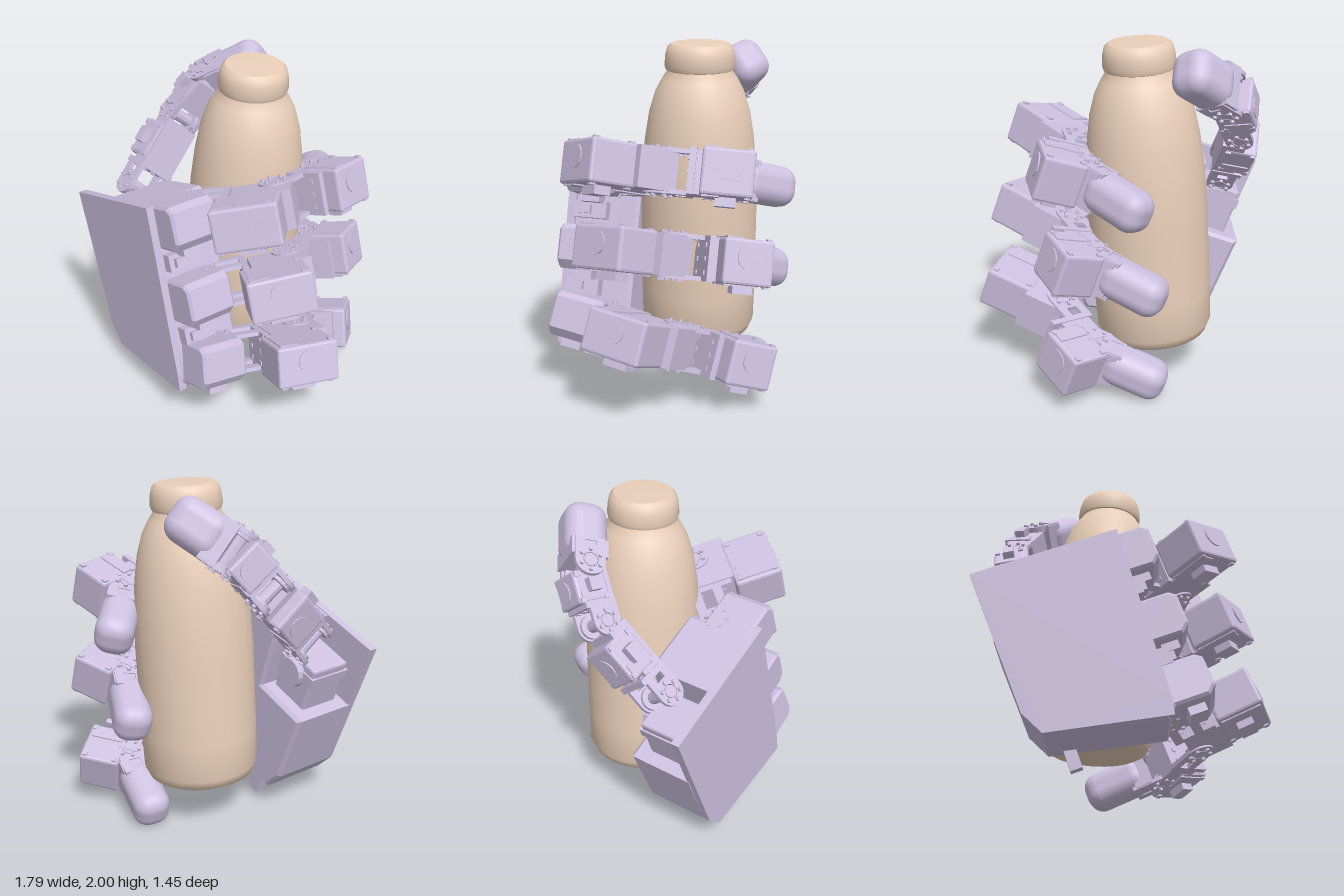
import * as THREE from 'three';
import { toCreasedNormals } from 'three/addons/utils/BufferGeometryUtils.js';
import { RoundedBoxGeometry } from 'three/addons/geometries/RoundedBoxGeometry.js';

const V = (x, y, z) => new THREE.Vector3(x, y, z);
const shell = new THREE.MeshStandardMaterial({ color: 0xcdc1e0, flatShading: true });
const skin = new THREE.MeshStandardMaterial({ color: 0xcdc1e0 });
const glass = new THREE.MeshStandardMaterial({ color: 0xebd0ba });

function add(parent, name, geo, x = 0, y = 0, z = 0, mat = shell) {
  const m = new THREE.Mesh(geo, mat);
  m.name = name;
  m.position.set(x, y, z);
  parent.add(m);
  return m;
}
const box = (p, name, w, h, d, x, y, z) => add(p, name, new THREE.BoxGeometry(w, h, d), x, y, z);

// Closed outline of [x, y] points, extruded along +z
function slab(points, depth, bevel = 0) {
  const s = new THREE.Shape(points.map(([x, y]) => new THREE.Vector2(x, y)));
  return new THREE.ExtrudeGeometry(s, { depth, bevelEnabled: bevel > 0, bevelSize: bevel,
    bevelThickness: bevel, bevelOffset: -bevel, bevelSegments: 1 });
}

// Group at A: +x runs to B, +z points outward
function aligned(parent, name, A, B, outward) {
  const g = new THREE.Group();
  g.name = name;
  const x = B.clone().sub(A).normalize();
  const y = outward.clone().cross(x).normalize();
  const z = x.clone().cross(y);
  g.setRotationFromMatrix(new THREE.Matrix4().makeBasis(x, y, z));
  g.position.copy(A);
  parent.add(g);
  return g;
}

// Side plate with a round end at the hinge, a hinge hole and a slot
function cheekPlate(len, r) {
  const s = new THREE.Shape();
  s.moveTo(len, -r);
  s.lineTo(len, r);
  s.lineTo(0, r);
  s.absarc(0, 0, r, Math.PI / 2, Math.PI * 1.5, false);
  s.lineTo(len, -r);
  s.holes.push(new THREE.Path().absarc(0, 0, r * 0.5, 0, Math.PI * 2, true));
  const slot = new THREE.Path();
  slot.moveTo(r, -r * 0.4);
  slot.lineTo(r, r * 0.4);
  slot.lineTo(len - 0.02, r * 0.4);
  slot.lineTo(len - 0.02, -r * 0.4);
  slot.closePath();
  s.holes.push(slot);
  return new THREE.ExtrudeGeometry(s, { depth: 0.025, bevelEnabled: false, curveSegments: 8 });
}

// Hinge bracket: pin, horn discs, rings of bolts and the two cheeks
function hinge(g, h, r, reach) {
  add(g, 'hingePin', new THREE.CylinderGeometry(r * 0.45, r * 0.45, h, 10));
  for (const s of [-1, 1]) {
    add(g, 'hornDisc', new THREE.CylinderGeometry(r * 0.85, r * 0.85, 0.02, 14), 0, s * (h / 2 - 0.035), 0);
    for (let i = 0; i < 6; i++) {
      const a = i * Math.PI / 3;
      add(g, 'bolt', new THREE.CylinderGeometry(0.012, 0.012, 0.02, 6),
        Math.cos(a) * r * 0.7, s * (h / 2 + 0.005), Math.sin(a) * r * 0.7);
    }
    const c = add(g, 'bracketCheek', cheekPlate(reach, r), 0, s * (h / 2 - 0.0125) + 0.0125, 0);
    c.rotation.x = Math.PI / 2;
  }
}

// Powered link: hinge bracket, inner housing and outer motor (ranges are [from, to])
function link(parent, name, A, B, outward, { h, r, reach, webZ, motorX, motorZ, houseX, houseZ }) {
  const g = aligned(parent, name, A, B, outward);
  const mid = ([a, b]) => (a + b) / 2, size = ([a, b]) => b - a;
  hinge(g, h, r, reach);
  // bracket plate with rows of rivets
  box(g, 'bracketWeb', 0.035, h, size(webZ), reach, 0, mid(webZ));
  for (const i of [-1, 1]) for (const k of [-1, 0, 1])
    box(g, 'webRivet', 0.05, 0.025, 0.025, reach, k * h * 0.3, mid(webZ) + i * size(webZ) * 0.28);
  box(g, 'housing', size(houseX), h * 0.95, size(houseZ), mid(houseX), 0, mid(houseZ));
  // motor with cap band, output disc, cable socket and lugs
  const mx = mid(motorX), mz = mid(motorZ), w = size(motorX), d = size(motorZ);
  add(g, 'motor', new RoundedBoxGeometry(w, h, d, 1, 0.015), mx, 0, mz);
  box(g, 'motorBand', w * 0.3, h + 0.015, d * 0.8, mx - w * 0.28, 0, mz);
  const disc = add(g, 'motorDisc', new THREE.CylinderGeometry(h * 0.27, h * 0.27, 0.015, 14), mx, h * 0.1, mz + d / 2);
  disc.rotation.x = Math.PI / 2;
  box(g, 'cableSocket', w * 0.4, 0.06, d * 0.35, mx, -h / 2 - 0.02, mz);
  for (const s of [-1, 1]) for (const t of [-1, 1])
    box(g, 'motorLug', 0.03, h + 0.02, 0.03, mx + s * w * 0.4, 0, mz + t * d * 0.38);
}

// Rounded end pad with its hinge fork; the pad runs a little past B
function fingertip(parent, A, B, outward, h, d) {
  const g = aligned(parent, 'fingertip', A, B, outward);
  const L = A.distanceTo(B);
  hinge(g, h, 0.085, L * 0.5);
  const start = L * 0.2, end = L + 0.11;
  add(g, 'tipPad', new RoundedBoxGeometry(end - start, h, d, 4, 0.09), (start + end) / 2, 0, 0, skin);
  box(g, 'tipCollar', 0.1, h * 0.94, d * 0.85, L * 0.3, 0, 0);
}

function makeFinger(hand, Y, curl, pitch) {
  const f = new THREE.Group();
  f.name = 'finger';
  f.position.set(0.46, Y, 0.21);
  f.rotation.set(pitch, 0, 0);
  hand.add(f);
  // knuckle motor carried by the palm
  add(f, 'knuckleMotor', slab([[-0.06, -0.13], [0.17, -0.13], [0.22, -0.08], [0.22, 0.1], [0.18, 0.13], [-0.06, 0.13]], 0.26, 0.015), 0, 0, -0.04);
  box(f, 'knuckleMount', 0.2, 0.2, 0.2, -0.09, 0, 0.05);
  box(f, 'knuckleSocket', 0.1, 0.06, 0.12, 0.09, -0.15, 0.1);
  const g = new THREE.Group();
  g.name = 'curledLinks';
  g.rotation.y = curl;
  f.add(g);
  const P = [V(0, 0, 0), V(0.345, 0, -0.38), V(0.263, 0, -0.718), V(-0.01, 0, -0.945)];
  link(g, 'lowerLink', P[0], P[1], V(1, 0, 1), { h: 0.24, r: 0.09, reach: 0.25, webZ: [-0.09, 0.16],
    motorX: [0.2, 0.57], motorZ: [0.18, 0.46], houseX: [0.28, 0.62], houseZ: [-0.04, 0.2] });
  link(g, 'middleLink', P[1], P[2], V(1, 0, 0), { h: 0.25, r: 0.09, reach: 0.17, webZ: [-0.09, 0.2],
    motorX: [0.22, 0.5], motorZ: [0.03, 0.27], houseX: [0.16, 0.36], houseZ: [-0.06, 0.14] });
  fingertip(g, P[2], P[3], V(0, 0, -1), 0.23, 0.22);
}

function makePalm(hand) {
  const palm = new THREE.Group();
  palm.name = 'palm';
  hand.add(palm);
  // outer cover and the thick body behind it, notched for the thumb
  add(palm, 'palmCover', slab([[-0.37, 1.26], [-0.34, 0.38], [-0.27, 0.24], [0.41, 0.1], [0.43, 0.2], [0.5, 1.25]], 0.05), 0, 0, 0.44);
  add(palm, 'palmBody', slab([[-0.36, 0.84], [-0.34, 0.38], [-0.27, 0.24], [0.38, 0.1], [0.44, 0.16],
    [0.46, 1.2], [0.4, 1.25], [0.0, 1.25], [0.0, 0.84]], 0.38, 0.02), 0, 0, 0.07);
  // spacers between the knuckles
  for (const y of [0.45, 0.9]) {
    box(palm, 'knuckleSpacer', 0.12, 0.1, 0.2, 0.46, y, 0.33);
    box(palm, 'spacerTab', 0.06, 0.05, 0.08, 0.52, y, 0.36);
  }
  // bottom peg
  box(palm, 'bottomPeg', 0.07, 0.14, 0.06, -0.15, 0.17, 0.11);
  // thumb motor in its notch
  add(palm, 'thumbMotor', new RoundedBoxGeometry(0.26, 0.34, 0.26, 1, 0.015), -0.15, 0.95, 0.27);
  box(palm, 'thumbMotorBand', 0.28, 0.06, 0.28, -0.15, 1.04, 0.27);
  const horn = add(palm, 'thumbHorn', new THREE.CylinderGeometry(0.09, 0.09, 0.05, 14), -0.13, 1.02, 0.12);
  horn.rotation.x = Math.PI / 2;
}

function makeThumb(root) {
  const t = new THREE.Group();
  t.name = 'thumb';
  root.add(t);
  const P = [V(-0.51, 1.11, -0.22), V(-0.31, 1.48, -0.52), V(-0.12, 1.71, -0.575), V(0.11, 1.85, -0.55)];
  const out = V(-0.5, 0.05, -0.8);
  const spec = { h: 0.24, r: 0.08, reach: 0.14, webZ: [-0.08, 0.1],
    motorX: [0.18, 0.42], motorZ: [-0.06, 0.13], houseX: [0.13, 0.46], houseZ: [-0.08, 0.05] };
  link(t, 'thumbLowerLink', P[0], P[1], out, spec);
  link(t, 'thumbMiddleLink', P[1], P[2], out, { ...spec, h: 0.22, reach: 0.1, motorX: [0.11, 0.29], houseX: [0.08, 0.28] });
  fingertip(t, P[2], P[3], V(-0.3, 0.2, -0.9), 0.26, 0.24);
}

function makeBottle(root) {
  const g = new THREE.Group();
  g.name = 'bottle';
  g.position.set(0.11, 0.255, -0.255);
  g.quaternion.setFromUnitVectors(V(0, 1, 0), V(0.085, 1.74, 0.055).normalize());
  root.add(g);
  const lathe = pts => toCreasedNormals(
    new THREE.LatheGeometry(pts.map(([r, y]) => new THREE.Vector2(r, y)), 32), 0.7);
  add(g, 'bottleBody', lathe([[0, 0], [0.27, 0], [0.315, 0.025], [0.338, 0.08], [0.342, 0.3], [0.342, 0.8], [0.335, 1.0],
    [0.317, 1.2], [0.292, 1.35], [0.255, 1.47], [0.218, 1.54], [0.19, 1.58], [0.18, 1.62]]), 0, 0, 0, glass);
  add(g, 'bottleCap', lathe([[0.17, 1.585], [0.195, 1.595], [0.203, 1.62], [0.197, 1.68], [0.187, 1.72],
    [0.165, 1.74], [0, 1.745]]), 0, 0, 0, glass);
}

export function createModel() {
  const root = new THREE.Group();
  root.name = 'handHoldingBottle';
  makeBottle(root);
  // hand frame: x toward the fingers, y across the knuckles, z out of the back of the hand
  const hand = new THREE.Group();
  hand.name = 'hand';
  hand.rotation.set(0, -0.765, 0.34, 'YXZ');
  root.add(hand);
  makePalm(hand);
  makeFinger(hand, 1.12, 0, 0);
  makeFinger(hand, 0.67, 0.27, 0);
  makeFinger(hand, 0.25, 0.5, -0.15);
  makeThumb(root);
  return root;
}
